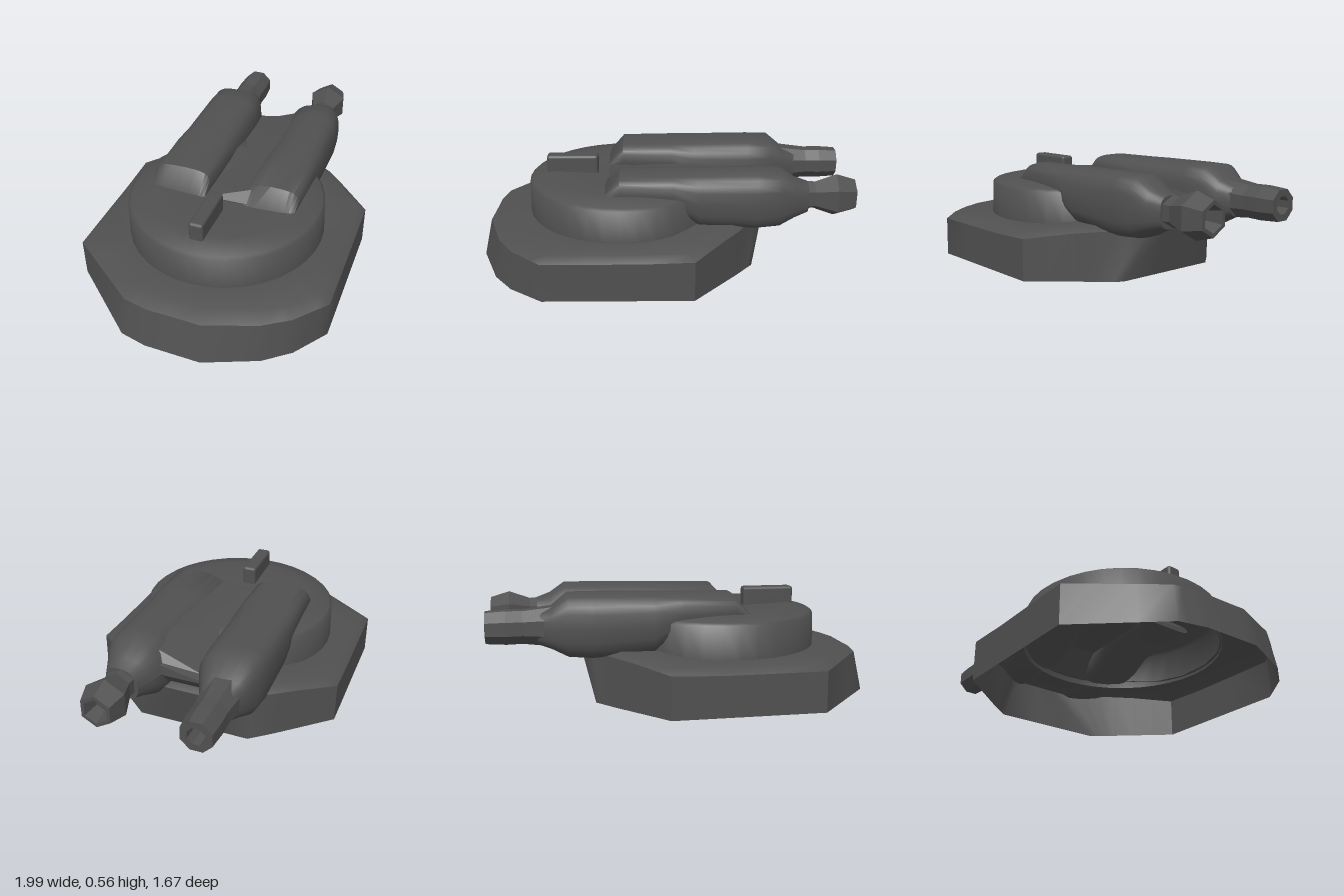
import * as THREE from 'three';
import { toCreasedNormals } from 'three/addons/utils/BufferGeometryUtils.js';
import { RoundedBoxGeometry } from 'three/addons/geometries/RoundedBoxGeometry.js';

const CX = -0.22; // pivot of the drum along the gun axis
const R = 0.52;   // drum radius
const clamp01 = (v) => THREE.MathUtils.clamp(v, 0, 1);

// Skin over closed rings of [x, y, z] points, optionally capped
function loft(rings, capped, crease) {
  const pos = [];
  const tri = (...pts) => pts.forEach((p) => pos.push(...p));
  const n = rings[0].length;
  for (let i = 0; i < rings.length - 1; i++) {
    for (let j = 0; j < n; j++) {
      const k = (j + 1) % n;
      const a = rings[i][j], b = rings[i][k], c = rings[i + 1][k], d = rings[i + 1][j];
      tri(a, b, c);
      tri(a, c, d);
    }
  }
  const cap = (ring, flip) => {
    const mid = [0, 1, 2].map((axis) => ring.reduce((s, p) => s + p[axis], 0) / n);
    ring.forEach((p, j) => {
      const q = ring[(j + 1) % n];
      if (flip) tri(mid, q, p); else tri(mid, p, q);
    });
  };
  if (capped) {
    cap(rings[0], true);
    cap(rings[rings.length - 1], false);
  }
  const g = new THREE.BufferGeometry();
  g.setAttribute('position', new THREE.Float32BufferAttribute(pos, 3));
  return toCreasedNormals(g, crease);
}

// Open-bottomed base: faceted skirt, bevel and a deck with a round opening
function baseGeometry() {
  const corners = [[-0.985, -0.146], [-0.993, 0.15], [-0.886, 0.42], [-0.786, 0.55], [-0.614, 0.675],
    [0.147, 0.675], [0.38, 0.41], [0.47, 0.3], [0.47, -0.3], [0.38, -0.41], [0.147, -0.67],
    [-0.614, -0.67], [-0.951, -0.287]];
  const outline = [];
  corners.forEach(([x, z], i) => {
    const [nx, nz] = corners[(i + 1) % corners.length];
    for (let s = 0; s < 3; s++) outline.push([x + (nx - x) * s / 3, z + (nz - z) * s / 3]);
  });
  const rear = (x) => clamp01((-x - 0.6) / 0.4);
  const front = (x) => clamp01((x - 0.1) / 0.25);
  const nose = (x) => clamp01((x - 0.38) / 0.09); // the nose leans forward and narrows
  const ring = (inset, height, lean = 0) => outline.map(([x, z]) => {
    const d = Math.hypot(x - CX, z);
    const s = (d - inset(x, d)) / d;
    const k = lean * nose(x);
    return [CX + (x - CX) * s + 0.06 * k, height(x), z * s * (1 - 0.4 * k)];
  });
  return loft([
    ring(() => 0, () => 0),
    ring((x) => 0.05 * rear(x), (x) => 0.205 + 0.045 * front(x), 1),
    ring((x) => 0.045 + 0.09 * rear(x), (x) => 0.235 + 0.04 * front(x), 1),
    ring((x, d) => d - R + 0.012, (x) => 0.24 + 0.03 * front(x)),
  ], false, 0.8);
}

// Rounded gun fairing, swept along x
function fairingGeometry(topLift) {
  const stations = [ // x, half width, bottom, top
    [-0.31, 0.15, 0.4, 0.44], [-0.23, 0.155, 0.38, 0.53], [0.04, 0.16, 0.35, 0.535],
    [0.18, 0.16, 0.25, 0.54], [0.48, 0.16, 0.23, 0.545], [0.6, 0.15, 0.24, 0.545],
    [0.68, 0.115, 0.28, 0.49], [0.75, 0.085, 0.305, 0.465]];
  const n = 24;
  const power = (v) => Math.sign(v) * Math.abs(v) ** 0.62;
  const rings = stations.map(([x, w, lo, top], i) => {
    const hi = top + (i > 0 && i < 6 ? topLift : 0);
    return Array.from({ length: n }, (_, j) => {
      const t = (j / n) * Math.PI * 2;
      // the left fairing's inner shoulder falls away towards the valley
      const inner = topLift ? 0 : clamp01(-Math.sin(t)) * clamp01(Math.cos(t) * 4) * (hi - lo) * 0.22;
      return [x, (lo + hi) / 2 + power(Math.cos(t)) * (hi - lo) / 2 - inner, power(Math.sin(t)) * w];
    });
  });
  return loft(rings, true, 0.8);
}

// Bridge sloping from the left fairing's ridge into the valley, undercut in front
function bridgeGeometry() {
  const stations = [ // x, bottom, valley, ridge
    [-0.3, 0.42, 0.435, 0.445], [-0.22, 0.41, 0.435, 0.52], [0.15, 0.37, 0.42, 0.53],
    [0.28, 0.255, 0.415, 0.535], [0.46, 0.255, 0.405, 0.54], [0.56, 0.32, 0.4, 0.53], [0.61, 0.38, 0.395, 0.46]];
  return loft(stations.map(([x, lo, valley, ridge]) => [
    [x, valley, -0.09], [x, ridge, 0.24], [x, lo, 0.24], [x, lo, -0.2], [x, valley, -0.2],
  ]), true, 0.5);
}

// Faceted barrel turned about the x axis, from [radius, x] pairs
function barrelGeometry(profile, sides) {
  const g = new THREE.LatheGeometry(profile.map(([r, x]) => new THREE.Vector2(r, x)), sides);
  return g.rotateZ(-Math.PI / 2).rotateX(Math.PI / sides);
}

export function createModel() {
  const color = 0x505050;
  const smooth = new THREE.MeshStandardMaterial({ color, side: THREE.DoubleSide });
  const faceted = new THREE.MeshStandardMaterial({ color, side: THREE.DoubleSide, flatShading: true });
  const model = new THREE.Group();
  const turret = new THREE.Group();
  turret.name = 'turret';
  turret.rotation.y = Math.PI / 6;
  turret.position.set(-0.033, 0, -0.057);
  model.add(turret);

  const add = (name, geometry, material, x = 0, y = 0, z = 0) => {
    const mesh = new THREE.Mesh(geometry, material);
    mesh.name = name;
    mesh.position.set(x, y, z);
    turret.add(mesh);
  };

  add('base', baseGeometry(), smooth);

  // Round drum with a sloping, slightly dished roof, open underneath
  const drum = [[R, 0.225], [0.515, 0.41], [0.5, 0.422], [0.39, 0.445], [0.2, 0.437], [0, 0.43]];
  add('drum', toCreasedNormals(new THREE.LatheGeometry(
    drum.map(([r, y]) => new THREE.Vector2(r, y)), 36), 1.2), smooth, CX);

  add('bridge', bridgeGeometry(), smooth);

  // Twin fairings
  add('leftFairing', fairingGeometry(0), smooth, 0, 0, 0.242);
  add('rightFairing', fairingGeometry(0.01), smooth, 0, 0, -0.242);

  // Flared hollow muzzle, and a slimmer bored one
  const flared = [[0.085, 0.66], [0.075, 0.79], [0.115, 0.9], [0.085, 1.0], [0.065, 1.0], [0.045, 0.92], [0, 0.92]];
  const bored = [[0.11, 0.64], [0.088, 0.82], [0.09, 0.9], [0.083, 1.0], [0.047, 1.0], [0.045, 0.9], [0, 0.9]];
  add('leftBarrel', barrelGeometry(flared, 6), faceted, 0, 0.388, 0.245);
  add('rightBarrel', barrelGeometry(bored, 8), faceted, 0, 0.393, -0.247);

  // Raised block on the roof
  add('roofBlock', new RoundedBoxGeometry(0.28, 0.12, 0.075, 2, 0.015), smooth, -0.5, 0.473, 0);

  return model;
}
